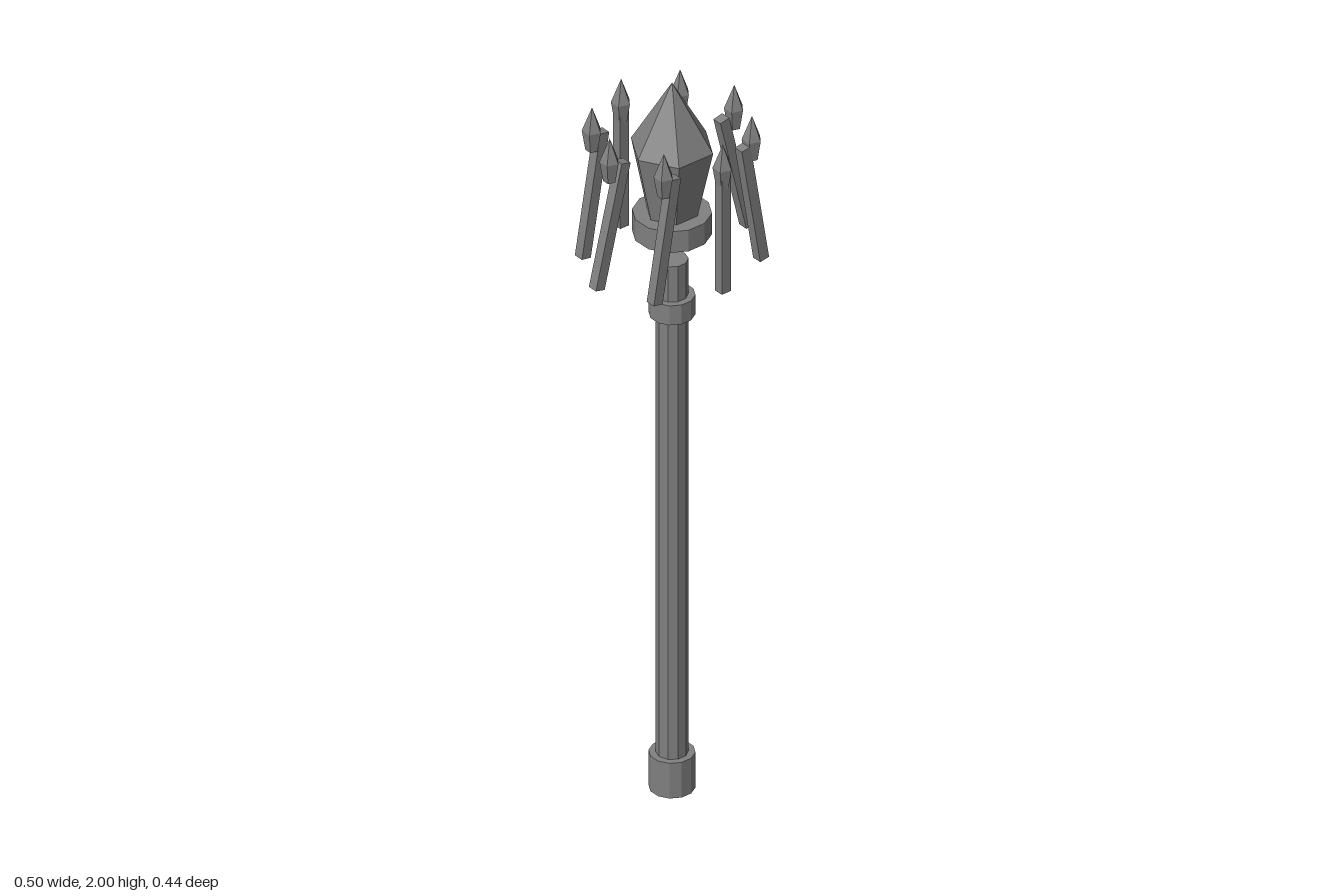
import * as THREE from 'three';

const steel = new THREE.MeshStandardMaterial({ color: 0x808080, flatShading: true });
steel.name = 'steel grey';

function add(parent, name, geometry, x = 0, y = 0, z = 0) {
  const mesh = new THREE.Mesh(geometry, steel);
  mesh.name = name;
  mesh.position.set(x, y, z);
  parent.add(mesh);
  return mesh;
}

// Faceted solid from [radius, height] pairs listed bottom to top
function faceted(points, sides, start = Math.PI / 2) {
  return new THREE.LatheGeometry(points.map(([r, y]) => new THREE.Vector2(r, y)), sides, start);
}

// Closed upright drum between two heights
function drum(radius, bottom, top, sides) {
  return faceted([[0, bottom], [radius, bottom], [radius, top], [0, top]], sides, Math.PI / sides);
}

export function createModel() {
  const model = new THREE.Group();
  model.name = 'sceptre';

  // Handle
  add(model, 'shaft', drum(0.04, 0, 1.5, 10));
  add(model, 'pommel', drum(0.057, 0, 0.1, 12));
  add(model, 'collar', drum(0.057, 1.345, 1.4, 12));

  // Floating head: round base with a six-sided spearhead
  add(model, 'headBase', drum(0.097, 1.575, 1.635, 12));
  add(model, 'spearhead', faceted([[0, 1.635], [0.066, 1.635], [0.106, 1.82], [0, 2]], 6));

  // Ring of eight floating rods, leaning sideways only, each with a small five-sided tip
  const rod = new THREE.BoxGeometry(0.028, 0.34, 0.027);
  const tip = faceted([[0, 1.797], [0.016, 1.797], [0.025, 1.852], [0, 1.917]], 5);
  for (let i = 0; i < 8; i++) {
    const angle = (i * Math.PI) / 4;
    const x = 0.194 * Math.cos(angle);
    const z = 0.194 * Math.sin(angle);
    const prong = new THREE.Group();
    prong.name = 'prong' + (i + 1);
    prong.position.set(x, 0, z);
    add(prong, 'rod', rod, 0, 1.672, 0).rotation.z = 0.24 * Math.cos(angle);
    add(prong, 'tip', tip);
    model.add(prong);
  }
  return model;
}
